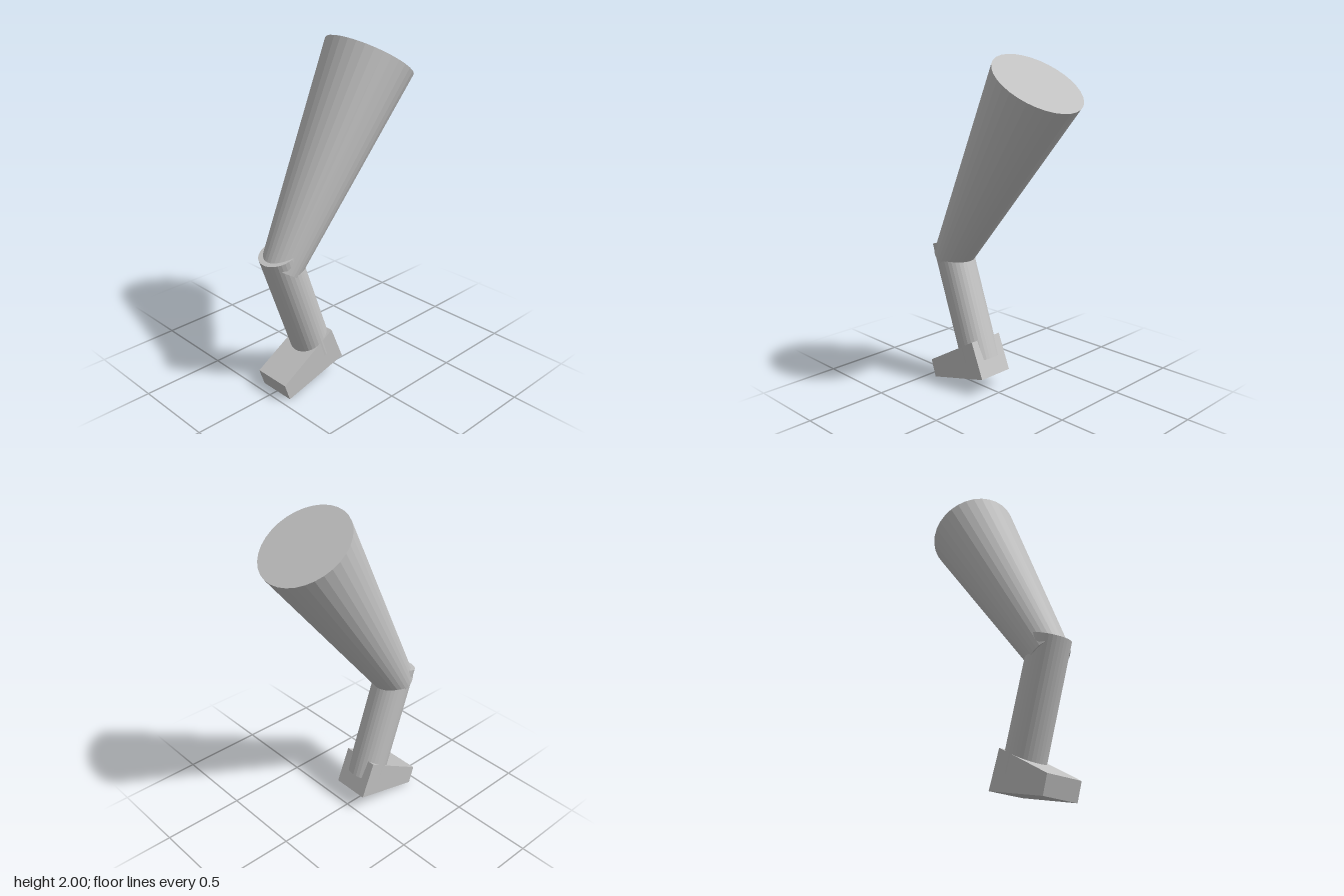
import * as THREE from 'three';

const legGrey = new THREE.MeshStandardMaterial({ color: 0xc0c0c0, flatShading: true });
legGrey.name = 'legGrey';

// Round limb segment between two points in the x = 0 plane, given as [y, z]
function limb(name, top, bottom, topRadius, bottomRadius) {
  const a = new THREE.Vector3(0, ...top);
  const b = new THREE.Vector3(0, ...bottom);
  const axis = a.clone().sub(b);
  const mesh = new THREE.Mesh(
    new THREE.CylinderGeometry(topRadius, bottomRadius, axis.length(), 32), legGrey);
  mesh.position.copy(a).add(b).multiplyScalar(0.5);
  mesh.quaternion.setFromUnitVectors(new THREE.Vector3(0, 1, 0), axis.normalize());
  mesh.name = name;
  return mesh;
}

// Wedge foot: side profile in [z, y], extruded across the width
function foot() {
  const halfWidth = 0.114;
  const profile = [[0.445, 0], [0.48, 0.105], [0.112, 0.322], [0.025, 0.11]];
  const shape = new THREE.Shape(profile.map(([z, y]) => new THREE.Vector2(z, y)));
  const geometry = new THREE.ExtrudeGeometry(shape, { depth: halfWidth * 2, bevelEnabled: false });
  geometry.rotateY(-Math.PI / 2).translate(halfWidth, 0, 0);
  const mesh = new THREE.Mesh(geometry, legGrey);
  mesh.name = 'foot';
  return mesh;
}

export function createModel() {
  const leg = new THREE.Group();
  leg.name = 'leg';
  leg.add(
    limb('thigh', [1.8575, -0.29], [0.772, 0.397], 0.266, 0.117),
    limb('shin', [0.88, 0.407], [0.175, 0.158], 0.115, 0.115),
    foot());
  return leg;
}
